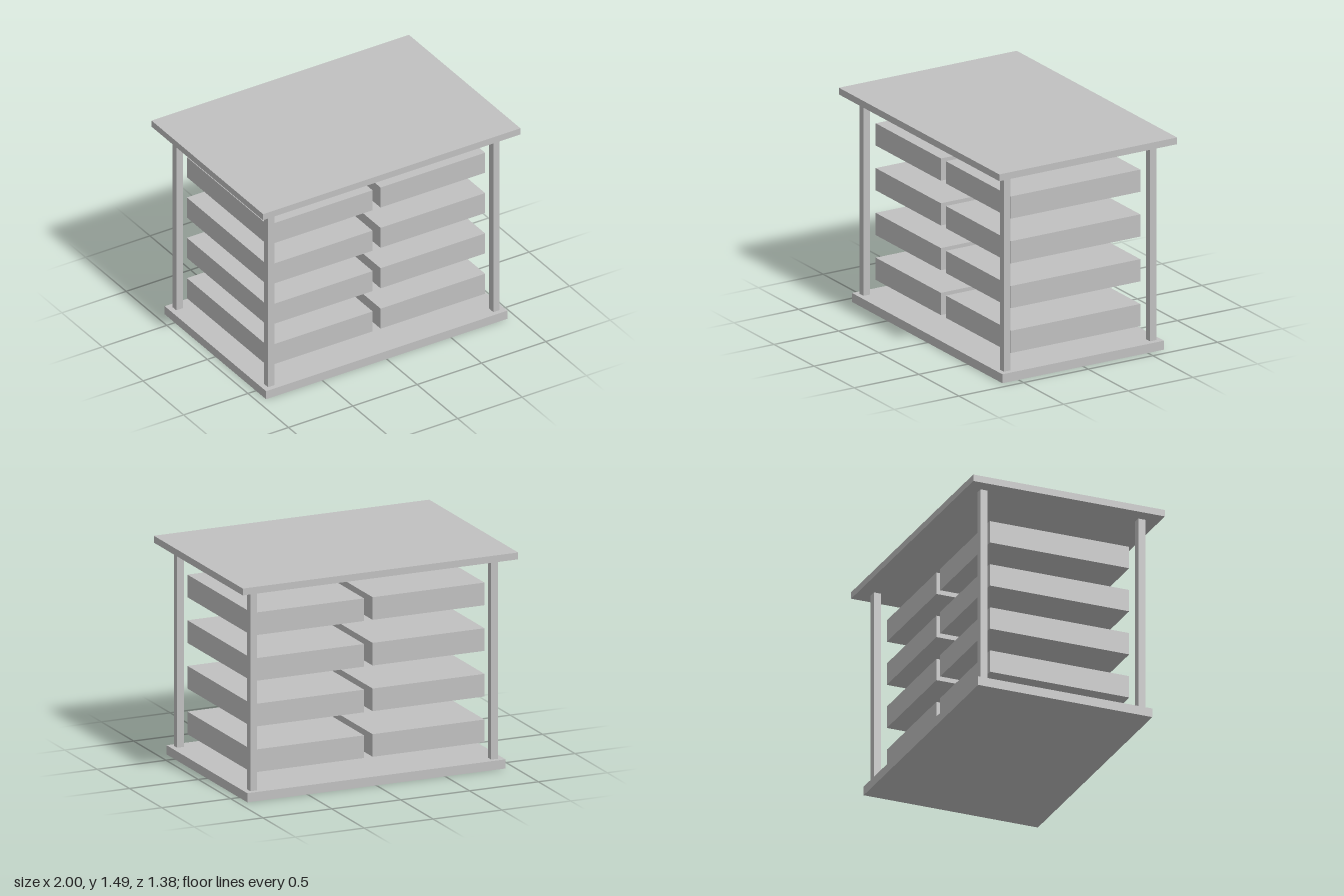
import * as THREE from 'three';

export function createModel() {
  const model = new THREE.Group();
  model.name = 'storageRack';
  const grey = new THREE.MeshStandardMaterial({ color: 0xc0c0c0 });
  grey.name = 'light grey';

  // Box centred on (x, z) and standing on height y
  function addBox(name, [w, h, d], [x, y, z]) {
    const mesh = new THREE.Mesh(new THREE.BoxGeometry(w, h, d), grey);
    mesh.name = name;
    mesh.position.set(x, y + h / 2, z);
    model.add(mesh);
  }

  const baseHeight = 0.0625;
  const roofBottom = 1.4405;
  addBox('base', [1.875, baseHeight, 1.25], [0, 0, 0]);
  addBox('roof', [2, 0.047, 1.375], [0, roofBottom, 0]);

  for (const side of [1, -1]) {
    const sideName = side > 0 ? 'left' : 'right';

    // Corner posts
    for (const end of [1, -1]) {
      addBox(`${sideName}${end > 0 ? 'Front' : 'Back'}Post`,
        [0.05, roofBottom - baseHeight, 0.05], [side * 0.875, baseHeight, end * 0.5655]);
    }

    // Stacked solid drawers, two columns of four
    for (let row = 0; row < 4; row++) {
      addBox(`${sideName}Drawer${row + 1}`,
        [0.8125, 0.155, 1], [side * 0.4375, 0.159 + row * 0.3125, 0]);
    }
  }
  return model;
}
